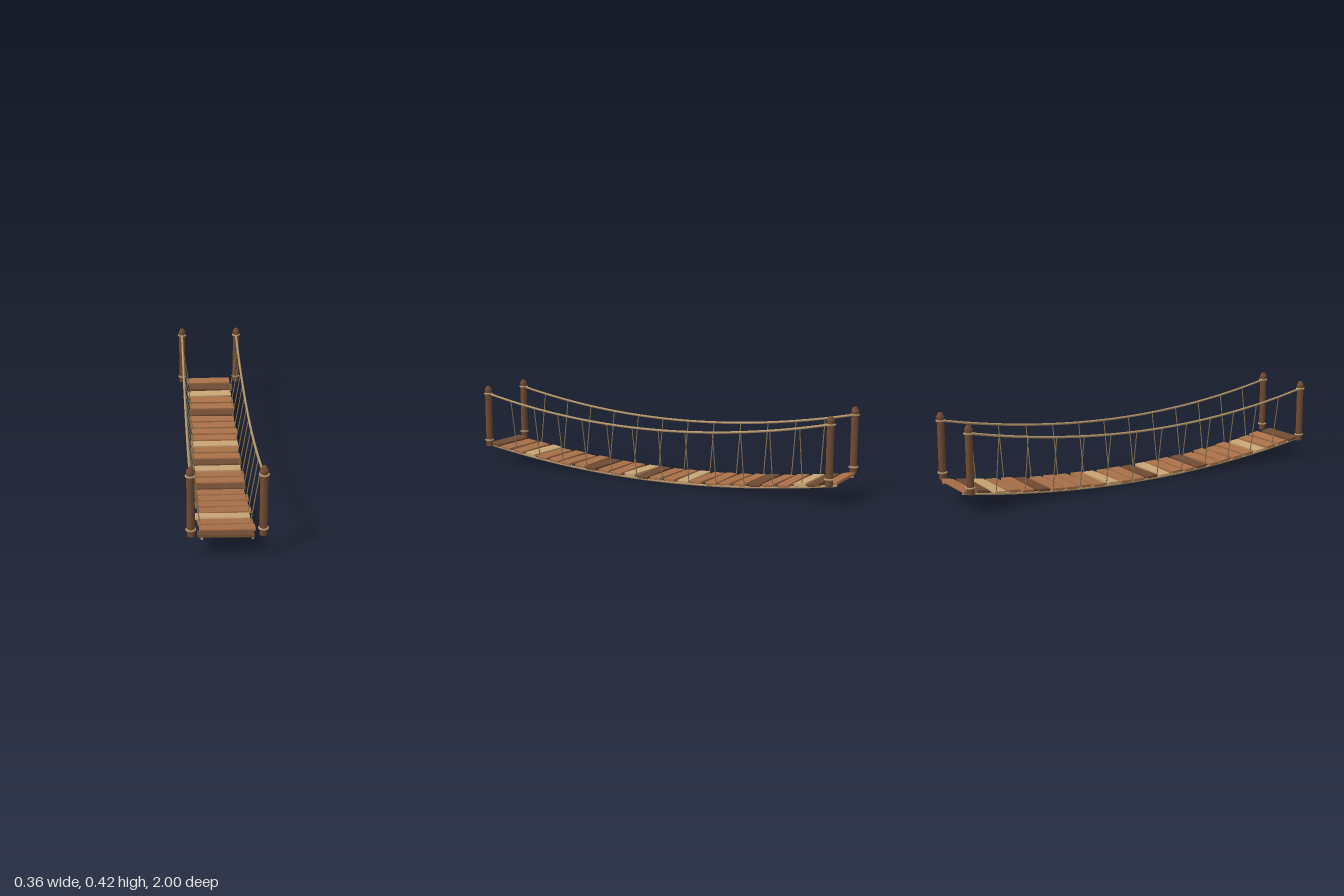
import * as THREE from 'three';
import { RoundedBoxGeometry } from 'three/addons/geometries/RoundedBoxGeometry.js';

const mat = (name, color) => {
  const m = new THREE.MeshStandardMaterial({ color });
  m.name = name;
  return m;
};

// Sagging curves, as heights along z
const deckY = z => 0.007 + 0.084 * z * z;
const railY = z => 0.274 + 0.107 * (z / 0.975) ** 2;
const RAIL_X = 0.157, DECK_X = 0.11, POST_Z = 0.975;

export function createModel() {
  const bridge = new THREE.Group();
  bridge.name = 'ropeBridge';
  const brown = mat('brownWood', 0xa87048);
  const dark = mat('darkWood', 0x6f4a32);
  const pale = mat('paleWood', 0xc8a474);
  const postWood = mat('postWood', 0x704a31);
  const rope = mat('rope', 0xb4966a);
  const cord = mat('cord', 0x8a7552);

  const add = (name, geometry, material, parent = bridge) => {
    const m = new THREE.Mesh(geometry, material);
    m.name = name;
    parent.add(m);
    return m;
  };

  // Planks: one letter per board, with small sideways shifts in thousandths
  const tones = { b: brown, d: dark, p: pale };
  const order = 'bdpbbdbbbbpbbdpbbdbbbbpbbd';
  const shifts = [-5, 8, -5, 3, 3, -2, -5, -2, 3, -2, -2, -5, -2,
    0, -8, 3, -2, 0, -10, 3, -5, 3, -8, 0, 5, -5];
  const plankGeo = new RoundedBoxGeometry(0.248, 0.014, 0.06, 1, 0.002);
  [...order].forEach((tone, i) => {
    const z = -0.967 + i * 0.07735;
    const plank = add('plank', plankGeo, tones[tone]);
    plank.position.set(shifts[i] / 1000, deckY(z) + 0.012, z);
    plank.rotation.set(-Math.atan(0.168 * z), 0.025 * Math.sin(i * 2.4 + 2), 0.012 * Math.sin(i * 3.7));
  });

  // Rope following a sag curve, with closed ends
  const sagRope = (name, x, end, height) => {
    const pts = [];
    for (let i = 0; i <= 16; i++) {
      const z = end * (i / 8 - 1);
      pts.push(new THREE.Vector3(x, height(z), z));
    }
    add(name, new THREE.TubeGeometry(new THREE.CatmullRomCurve3(pts), 48, 0.006, 8), rope);
    for (const s of [-1, 1]) {
      const cap = add(name + 'End', new THREE.CircleGeometry(0.006, 8), rope);
      cap.position.set(x, height(end), s * end);
      if (s < 0) cap.rotation.y = Math.PI;
    }
  };

  // Post with a chamfered foot and a blunt pointed cap
  const profile = [[0, 0.095], [0.016, 0.095], [0.0175, 0.098], [0.0175, 0.4]];
  const capProfile = [[0.0175, 0.4], [0.0195, 0.4], [0.0095, 0.42], [0, 0.42]];
  const lathe = p => new THREE.LatheGeometry(p.map(a => new THREE.Vector2(...a)), 12);
  const flatEdges = g => {
    const flat = g.toNonIndexed();
    flat.computeVertexNormals();
    return flat;
  };
  const postGeo = lathe(profile);
  const capGeo = flatEdges(lathe(capProfile));
  const ringGeo = new THREE.TorusGeometry(0.0195, 0.0045, 8, 20);
  ringGeo.rotateX(Math.PI / 2);

  const up = new THREE.Vector3(0, 1, 0);
  for (const side of [-1, 1]) {
    sagRope('deckRope', side * DECK_X, 0.995, deckY);
    sagRope('handRope', side * RAIL_X, POST_Z, railY);

    for (const end of [-1, 1]) {
      const post = new THREE.Group();
      post.name = 'post';
      post.position.set(side * RAIL_X, 0, end * POST_Z);
      add('postShaft', postGeo, postWood, post);
      add('postCap', capGeo, postWood, post);
      for (const y of [0.128, 0.381]) add('postLashing', ringGeo, rope, post).position.y = y;
      bridge.add(post);
    }

    // Hanger cords leaning in from hand rope to deck rope
    for (let i = 0; i < 12; i++) {
      const z = -0.825 + i * 0.15;
      const a = new THREE.Vector3(side * DECK_X, deckY(z), z);
      const b = new THREE.Vector3(side * RAIL_X, railY(z), z);
      const dir = b.clone().sub(a);
      const hanger = add('hangerCord', new THREE.CylinderGeometry(0.0028, 0.0028, dir.length(), 6), cord);
      hanger.position.copy(a).add(b).multiplyScalar(0.5);
      hanger.quaternion.setFromUnitVectors(up, dir.normalize());
    }
  }
  return bridge;
}
